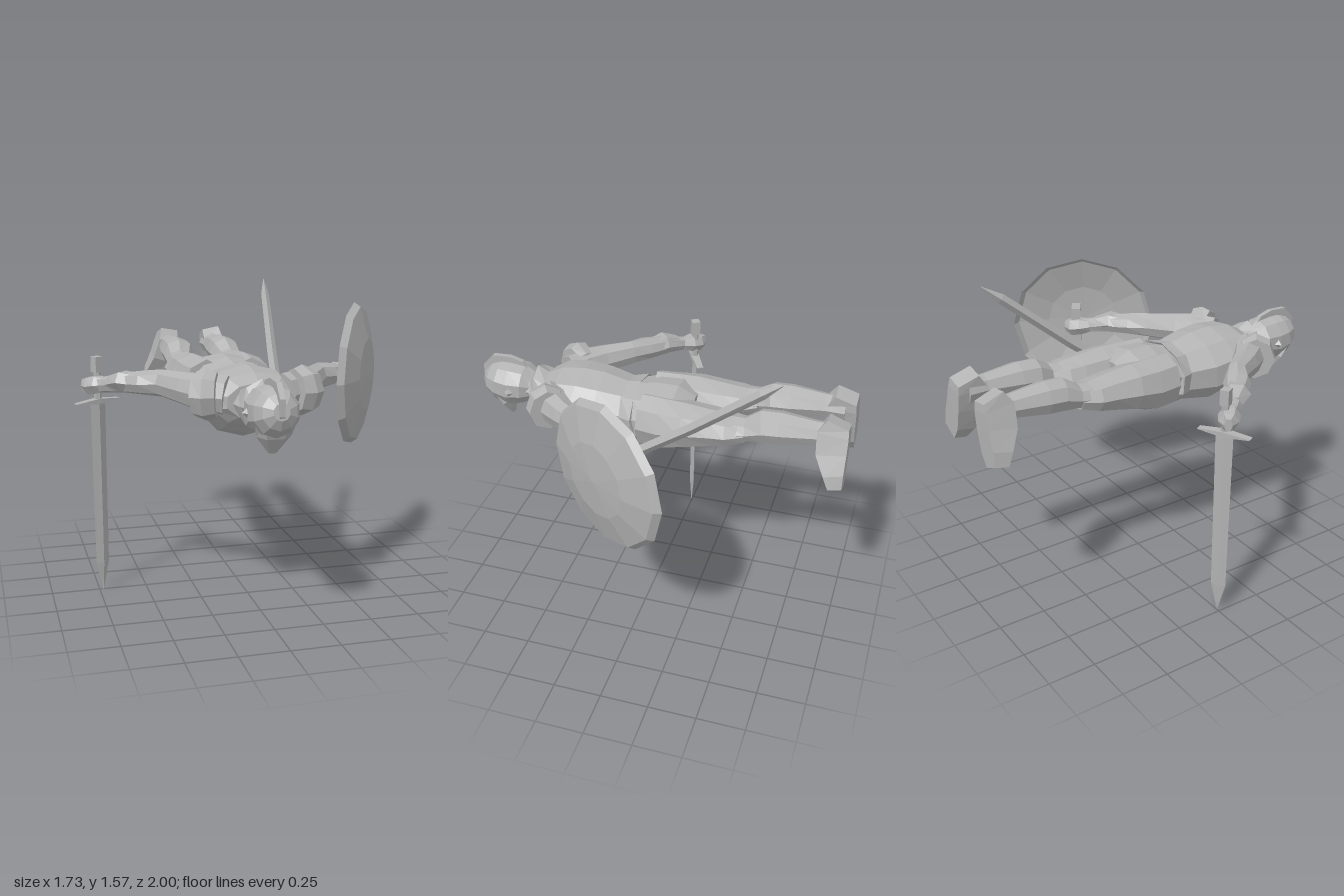
import * as THREE from 'three';

const MID = -0.05; // x of the body's centre line
const V = (x, y, z) => new THREE.Vector3(x, y, z);

export function createModel() {
  const model = new THREE.Group();
  const stone = new THREE.MeshStandardMaterial({ color: 0xb2b2b2 });
  stone.name = 'stone grey';
  const stoneSheet = stone.clone();
  stoneSheet.side = THREE.DoubleSide;

  function add(name, geometry, material = stone, parent = model) {
    const flat = geometry.index ? geometry.toNonIndexed() : geometry;
    flat.computeVertexNormals();
    const mesh = new THREE.Mesh(flat, material);
    mesh.name = name;
    parent.add(mesh);
    return mesh;
  }

  // Faceted skin over cross-sections [x, y, z, radius sideways, radius along up]
  function loft(sections, sides = 8, up = V(0, 1, 0), phase = 0) {
    const pos = [], index = [], last = sections.length - 1;
    const centres = sections.map(s => V(s[0], s[1], s[2]));
    sections.forEach((s, i) => {
      const t = centres[Math.min(i + 1, last)].clone().sub(centres[Math.max(i - 1, 0)]).normalize();
      const u = up.clone().addScaledVector(t, -up.dot(t)).normalize();
      const side = u.clone().cross(t);
      for (let j = 0; j < sides; j++) {
        const a = phase + j / sides * Math.PI * 2;
        const p = centres[i].clone().addScaledVector(side, Math.cos(a) * s[3]).addScaledVector(u, Math.sin(a) * s[4]);
        pos.push(p.x, p.y, p.z);
      }
    });
    const first = pos.length / 3;
    pos.push(...centres[0].toArray(), ...centres[last].toArray());
    for (let j = 0; j < sides; j++) {
      const k = (j + 1) % sides;
      for (let i = 0; i < last; i++) {
        const a = i * sides, b = a + sides;
        index.push(a + j, a + k, b + k, a + j, b + k, b + j);
      }
      index.push(first, k, j, first + 1, last * sides + j, last * sides + k);
    }
    const g = new THREE.BufferGeometry();
    g.setAttribute('position', new THREE.Float32BufferAttribute(pos, 3));
    g.setIndex(index);
    return g;
  }

  // Section on the centre line from its top, bottom and half width
  const slice = (z, top, bottom, half) => [MID, (top + bottom) / 2, z, half, (top - bottom) / 2];

  // Torso, lying face down with the head towards +z
  add('torso', loft([
    slice(0.08, 1.21, 0.93, 0.19), slice(0.17, 1.22, 0.91, 0.19), slice(0.32, 1.25, 0.88, 0.225),
    slice(0.45, 1.26, 0.92, 0.235), slice(0.56, 1.24, 0.98, 0.23), slice(0.62, 1.2, 1.02, 0.16),
  ], 10, V(0, 1, 0), Math.PI / 10));
  add('hips', loft([
    slice(-0.18, 1.19, 1.02, 0.17), slice(-0.1, 1.24, 0.98, 0.23), slice(0, 1.24, 0.95, 0.24),
    slice(0.09, 1.22, 0.92, 0.215), slice(0.1, 1.23, 0.92, 0.235), slice(0.165, 1.22, 0.91, 0.2),
  ], 10, V(0, 1, 0), Math.PI / 10));

  // Neck and flared collar
  add('neck', loft([slice(0.58, 1.18, 1.03, 0.1), slice(0.74, 1.18, 1.03, 0.09)]));
  add('collar', loft([slice(0.6, 1.19, 1.02, 0.13), slice(0.68, 1.23, 0.97, 0.11), slice(0.71, 1.18, 1.02, 0.1)]));

  // Helmeted head, brim, ears and crest
  add('head', loft([
    slice(0.71, 1.18, 1.02, 0.08), slice(0.76, 1.22, 1.0, 0.115), slice(0.84, 1.23, 0.98, 0.12),
    slice(0.91, 1.23, 1.0, 0.112), slice(0.96, 1.21, 1.04, 0.085), slice(0.99, 1.17, 1.09, 0.04),
  ], 10, V(0, 1, 0), Math.PI / 10));
  add('brim', loft([
    [MID, 1.08, 0.91, 0.1, 0.03], [MID, 1.0, 0.87, 0.085, 0.04], [MID, 0.915, 0.85, 0.02, 0.008],
  ], 6, V(0, 0, 1)));
  const crestShape = new THREE.Shape([
    [0.73, 1.19], [0.77, 1.24], [0.84, 1.26], [0.94, 1.255], [1.0, 1.19], [1.0, 1.11], [0.95, 1.05], [0.9, 1.12],
  ].map(([z, y]) => new THREE.Vector2(-z, y)));
  const crest = new THREE.ExtrudeGeometry(crestShape, { depth: 0.026, bevelEnabled: false });
  crest.rotateY(Math.PI / 2).translate(MID - 0.013, 0, 0);
  add('crest', crest);

  for (const s of [-1, 1]) {
    const label = s > 0 ? 'left' : 'right';
    const at = (d, y, z, rx, ry) => [MID + s * d, y, z, rx, ry];
    add(label + 'EarGuard', new THREE.ConeGeometry(0.03, 0.03, 4)
      .rotateZ(-s * Math.PI / 2).translate(MID + s * 0.122, 1.1, 0.82));

    // Arm, shoulder guard, cuff and fist
    add(label + 'Arm', loft([
      at(0.14, 1.13, 0.56, 0.08, 0.1), at(0.24, 1.14, 0.5, 0.085, 0.095), at(0.31, 1.15, 0.42, 0.07, 0.08),
      at(0.4, 1.16, 0.295, 0.055, 0.068), at(0.48, 1.155, 0.235, 0.07, 0.06),
      at(0.57, 1.145, 0.15, 0.055, 0.05), at(0.65, 1.125, 0.07, 0.035, 0.04), at(0.68, 1.12, 0.035, 0.035, 0.04),
    ]));
    add(label + 'ShoulderGuard', loft([
      at(0.19, 1.14, 0.57, 0.085, 0.11), at(0.235, 1.14, 0.55, 0.105, 0.125), at(0.275, 1.14, 0.52, 0.1, 0.11),
    ]));
    add(label + 'Cuff', loft([
      at(0.53, 1.15, 0.19, 0.06, 0.052), at(0.57, 1.155, 0.16, 0.07, 0.055), at(0.62, 1.135, 0.1, 0.045, 0.045),
    ], 6));
    add(label + 'Hand', loft([
      at(0.64, 1.125, 0.07, 0.03, 0.035), at(0.68, 1.12, 0.03, 0.055, 0.05),
      at(0.72, 1.11, -0.005, 0.05, 0.05), at(0.75, 1.11, -0.03, 0.02, 0.035),
    ], 6));

    // Leg: wide trouser over the thigh, then the calf
    add(label + 'Thigh', loft([
      at(0.12, 1.09, 0.06, 0.12, 0.14), at(0.13, 1.09, -0.06, 0.128, 0.14), at(0.137, 1.11, -0.18, 0.13, 0.12),
      at(0.137, 1.12, -0.32, 0.118, 0.095), at(0.142, 1.125, -0.4, 0.112, 0.08), at(0.145, 1.135, -0.49, 0.075, 0.06),
    ]));
    add(label + 'Calf', loft([
      at(0.142, 1.14, -0.42, 0.09, 0.06), at(0.147, 1.145, -0.49, 0.075, 0.06), at(0.135, 1.17, -0.57, 0.09, 0.085),
      at(0.135, 1.175, -0.66, 0.088, 0.085), at(0.135, 1.18, -0.84, 0.062, 0.062), at(0.135, 1.18, -0.94, 0.065, 0.07),
    ]));
    // Foot hanging toe down, sole towards -z
    add(label + 'Foot', loft([
      at(0.13, 1.255, -0.94, 0.07, 0.08), at(0.14, 1.2, -0.92, 0.08, 0.11), at(0.165, 1.1, -0.925, 0.09, 0.105),
      at(0.2, 1.0, -0.95, 0.1, 0.07), at(0.23, 0.935, -0.965, 0.075, 0.048),
    ], 4, V(0, 0, 1), Math.PI / 4));
  }

  // Short sword held point down
  const sword = new THREE.Group();
  sword.name = 'sword';
  sword.position.set(-0.73, 0, 0.005);
  sword.rotation.y = 0.5;
  model.add(sword);
  add('blade', loft([
    [0, 1.03, 0, 0.046, 0.014], [0, 0.16, 0, 0.04, 0.013], [0, 0.005, 0, 0.002, 0.002],
  ], 4, V(0, 0, 1)), stone, sword);
  add('guard', loft([
    [-0.135, 1.03, 0, 0.025, 0.003], [0, 1.03, 0, 0.032, 0.02], [0.135, 1.03, 0, 0.025, 0.003],
  ], 4, V(0, 1, 0), Math.PI / 4), stone, sword);
  add('grip', new THREE.CylinderGeometry(0.019, 0.019, 0.17, 6).translate(0, 1.11, 0), stone, sword);
  add('pommel', new THREE.BoxGeometry(0.045, 0.08, 0.045).translate(0, 1.22, 0), stone, sword);

  // Scabbard rising from the left hip
  add('scabbard', loft([
    [0.225, 0.96, 0.075, 0.026, 0.028], [0.275, 1.2, -0.24, 0.026, 0.028],
    [0.338, 1.5, -0.6, 0.022, 0.026], [0.357, 1.575, -0.697, 0.002, 0.002],
  ], 4));

  // Round domed shield on the left forearm
  const shield = new THREE.Group();
  shield.name = 'shield';
  shield.position.set(0.64, 1.122, 0.053);
  shield.rotation.y = Math.atan2(0.84, 0.543);
  model.add(shield);
  const profile = [[0.395, 0], [0.37, 0.035], [0.2, 0.08], [0, 0.095]].map(([r, h]) => new THREE.Vector2(r, h));
  add('shieldDome', new THREE.LatheGeometry(profile, 12).rotateX(Math.PI / 2).scale(1, 0.97, 1), stoneSheet, shield);
  add('shieldGrip', new THREE.BoxGeometry(0.05, 0.2, 0.03).translate(0.04, 0, -0.01), stone, shield);
  for (const s of [-1, 1]) {
    add('shieldGripEnd', new THREE.BoxGeometry(0.05, 0.03, 0.08).translate(0.04, s * 0.085, 0.03), stone, shield);
  }
  return model;
}
